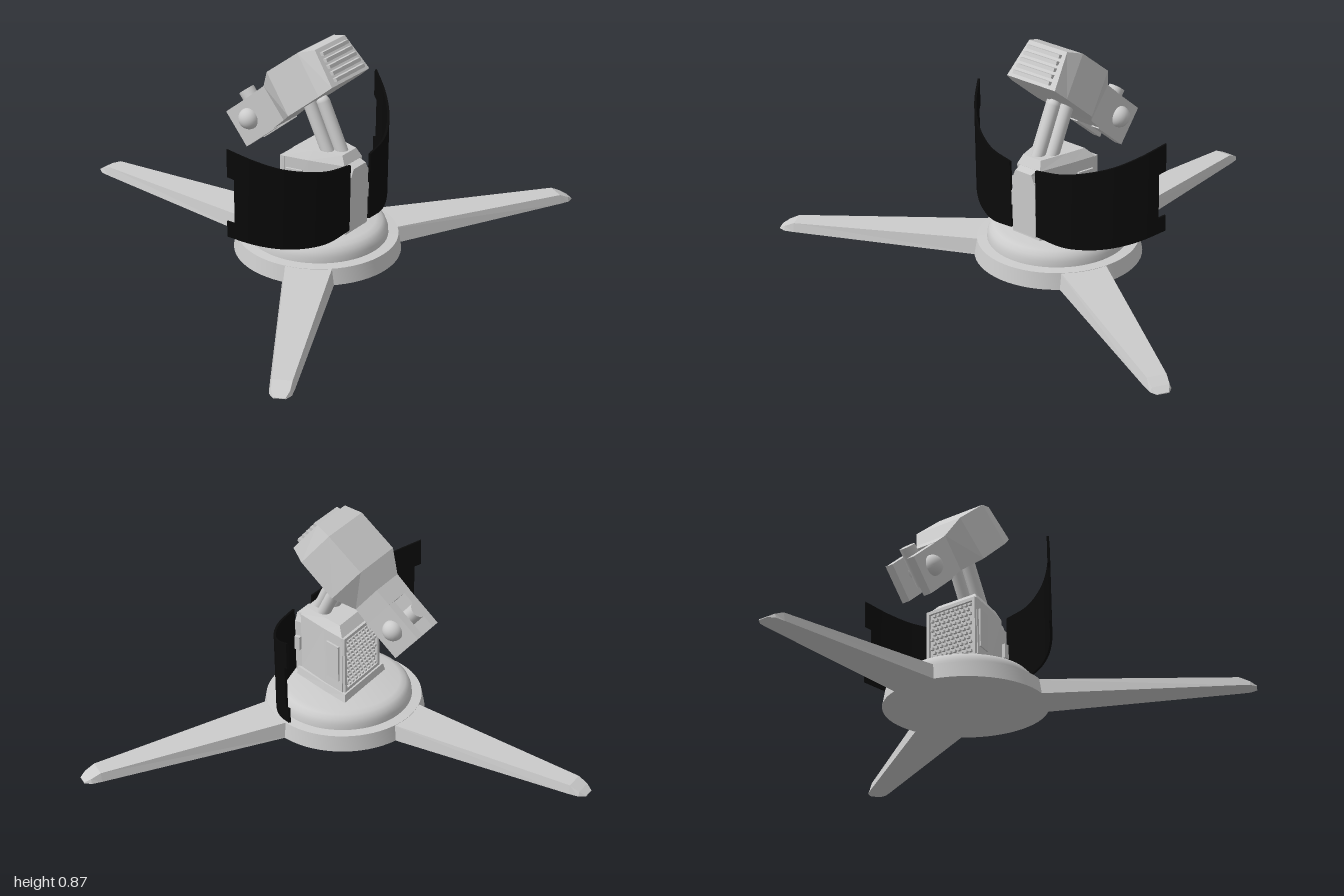
import * as THREE from 'three';
import { toCreasedNormals } from 'three/addons/utils/BufferGeometryUtils.js';

const grey = new THREE.MeshStandardMaterial({ color: 0xcccccc });
const black = new THREE.MeshStandardMaterial({ color: 0x0a0a0a, side: THREE.DoubleSide });

function add(parent, name, geometry, x = 0, y = 0, z = 0, material = grey) {
  const mesh = new THREE.Mesh(geometry, material);
  mesh.name = name;
  mesh.position.set(x, y, z);
  parent.add(mesh);
  return mesh;
}

// Closed, flat-faced skin over matching rings, capped at both ends
function loft(rings) {
  const out = [];
  const tri = (...corners) => corners.forEach((p) => out.push(...p));
  const n = rings[0].length, last = rings[rings.length - 1];
  for (let i = 0; i + 1 < rings.length; i++) {
    for (let j = 0; j < n; j++) {
      const k = (j + 1) % n, a = rings[i], b = rings[i + 1];
      tri(a[j], a[k], b[k]);
      tri(a[j], b[k], b[j]);
    }
  }
  for (let j = 1; j + 1 < n; j++) {
    tri(last[0], last[j], last[j + 1]);
    tri(rings[0][0], rings[0][j + 1], rings[0][j]);
  }
  const g = new THREE.BufferGeometry();
  g.setAttribute('position', new THREE.Float32BufferAttribute(out, 3));
  g.computeVertexNormals();
  return g;
}

// Trapezoid section at depth z
const section = (z, bottom, top, halfBottom, halfTop) =>
  [[halfBottom, bottom, z], [halfTop, top, z], [-halfTop, top, z], [-halfBottom, bottom, z]];

// Six-sided plan of the housing at height y
const plan = (y, back, front, halfBack, halfFront) => {
  const mid = back + (front - back) * 0.42;
  const halfMid = halfBack * 0.8;
  return [[halfBack, y, back], [-halfBack, y, back], [-halfMid, y, mid],
    [-halfFront, y, front], [halfFront, y, front], [halfMid, y, mid]];
};

function rod(parent, name, from, to, radius) {
  const a = new THREE.Vector3(...from), d = new THREE.Vector3(...to).sub(a);
  const m = add(parent, name, new THREE.CapsuleGeometry(radius, d.length(), 6, 20));
  m.position.copy(a).addScaledVector(d, 0.5);
  m.quaternion.setFromUnitVectors(new THREE.Vector3(0, 1, 0), d.normalize());
}

function buildBase(model) {
  const base = new THREE.Group();
  base.name = 'base';
  base.position.z = 0.265;
  const profile = [[0, 0], [0.33, 0], [0.318, 0.065], [0.278, 0.068], [0.276, 0.09], [0.268, 0.11],
    [0.253, 0.125], [0.23, 0.132], [0, 0.134]].map((p) => new THREE.Vector2(...p));
  add(base, 'turntable', toCreasedNormals(new THREE.LatheGeometry(profile, 64), 0.6));
  const leg = loft([
    section(0.2, 0, 0.068, 0.108, 0.097), section(1.07, 0, 0.036, 0.045, 0.037),
    section(1.11, 0, 0.018, 0.04, 0.033), section(1.135, 0, 0.003, 0.022, 0.02)]);
  for (let i = 0; i < 3; i++) add(base, 'leg', leg).rotation.y = Math.PI + i * Math.PI * 2 / 3;
  model.add(base);
}

function buildHousing(model) {
  const housing = new THREE.Group();
  housing.name = 'housing';
  add(housing, 'footPlate', loft([plan(0.125, 0.16, 0.45, 0.15, 0.07), plan(0.165, 0.165, 0.445, 0.14, 0.065)]));
  add(housing, 'body', loft([plan(0.165, 0.185, 0.43, 0.13, 0.058), plan(0.415, 0.185, 0.43, 0.125, 0.058),
    plan(0.45, 0.215, 0.41, 0.095, 0.045)]));
  // Framed rear grille with staggered studs
  for (const s of [-1, 1]) {
    add(housing, 'grilleSide', new THREE.BoxGeometry(0.014, 0.25, 0.02), s * 0.118, 0.29, 0.183);
    add(housing, 'grilleRail', new THREE.BoxGeometry(0.25, 0.014, 0.02), 0, 0.29 + s * 0.118, 0.183);
  }
  const stud = new THREE.BoxGeometry(0.012, 0.01, 0.014);
  for (let r = 0; r < 11; r++) {
    for (let c = 0; c < 9; c++) {
      add(housing, 'grilleStud', stud, (c - 4.25 + (r % 2) * 0.5) * 0.023, 0.19 + r * 0.02, 0.18);
    }
  }
  // Side panels and clips that carry the shields
  for (const s of [-1, 1]) {
    add(housing, 'sidePanel', new THREE.BoxGeometry(0.012, 0.16, 0.07), s * 0.116, 0.29, 0.235)
      .rotation.y = -s * 0.24;
    add(housing, 'shieldClip', new THREE.BoxGeometry(0.03, 0.06, 0.03), s * 0.058, 0.28, 0.445);
  }
  add(housing, 'frontColumn', new THREE.BoxGeometry(0.116, 0.23, 0.05), 0, 0.26, 0.435);
  add(housing, 'columnHood', loft([section(0.38, 0.365, 0.43, 0.058, 0.045), section(0.46, 0.365, 0.405, 0.058, 0.04)]));
  model.add(housing);
}

// Curved shield half; edges are swept between a lower and an upper curve
function buildShield(model, side) {
  const shield = new THREE.Group();
  shield.name = side > 0 ? 'leftShield' : 'rightShield';
  const plan = [[0.064, 0.46], [0.18, 0.44], [0.27, 0.4], [0.35, 0.345], [0.42, 0.275], [0.477, 0.195]];
  const edge = (ys) => new THREE.CatmullRomCurve3(plan.map(([x, z], i) => new THREE.Vector3(x * side, ys[i], z)));
  const low = edge([0.155, 0.14, 0.143, 0.157, 0.182, 0.215]);
  const high = edge([0.432, 0.443, 0.463, 0.49, 0.53, 0.575]);
  const panel = (name, t0, t1, v0, v1) => {
    const g = new THREE.BoxGeometry(1, 1, 1, 28, 1, 1), pos = g.attributes.position;
    for (let i = 0; i < pos.count; i++) {
      const u = 0.5 + side * pos.getX(i);
      const t = t0 + (t1 - t0) * u;
      const v = v0 + (v1 - v0) * (pos.getY(i) + 0.5);
      const p = low.getPoint(t).lerp(high.getPoint(t), v);
      const d = low.getTangent(t).setY(0).normalize();
      const w = pos.getZ(i) * 0.009 * side;
      pos.setXYZ(i, p.x - d.z * w, p.y, p.z + d.x * w);
    }
    add(shield, name, toCreasedNormals(g, 0.5), 0, 0, 0, black);
  };
  panel('shieldPanel', 0, 0.945, 0, 1);
  panel('lowerTab', 0.945, 1, 0, 0.18);
  panel('upperTab', 0.945, 1, 0.69, 1);
  model.add(shield);
}

function buildHead(model) {
  const head = new THREE.Group();
  head.name = 'head';
  head.position.set(0, 0.371, -0.03);
  head.rotation.x = -THREE.MathUtils.degToRad(40);
  add(head, 'headShell', loft([
    section(0.17, 0.005, 0.162, 0.073, 0.073), section(0.245, 0.01, 0.163, 0.075, 0.075),
    section(0.335, 0.01, 0.198, 0.137, 0.115), section(0.52, 0.01, 0.193, 0.137, 0.115),
    section(0.585, 0.012, 0.167, 0.12, 0.095)]));
  // Front vent
  for (let i = 0; i < 5; i++) {
    add(head, 'ventSlat', new THREE.BoxGeometry(0.18 - i * 0.005, 0.014, 0.03), 0, 0.035 + i * 0.027, 0.585)
      .rotation.x = 0.35;
  }
  // Rear fork with its pivot
  for (const s of [-1, 1]) {
    add(head, 'forkPlate', new THREE.BoxGeometry(0.036, 0.16, 0.18), s * 0.055, 0.081, 0.088);
    const cap = add(head, 'pivotCap', new THREE.SphereGeometry(0.043, 24, 16), s * 0.073, 0.089, 0.087);
    cap.scale.x = 0.95;
  }
  add(head, 'pivotBarrel', new THREE.CylinderGeometry(0.033, 0.033, 0.165, 24), 0, 0.113, 0.085);
  model.add(head);
}

export function createModel() {
  const model = new THREE.Group();
  model.name = 'model';
  buildBase(model);
  buildHousing(model);
  buildShield(model, 1);
  buildShield(model, -1);
  // Neck rods rising from the housing into the head
  rod(model, 'frontNeckRod', [0, 0.38, 0.405], [0, 0.625, 0.285], 0.026);
  for (const s of [-1, 1]) rod(model, 'rearNeckRod', [s * 0.035, 0.38, 0.365], [s * 0.035, 0.62, 0.245], 0.026);
  buildHead(model);
  return model;
}
